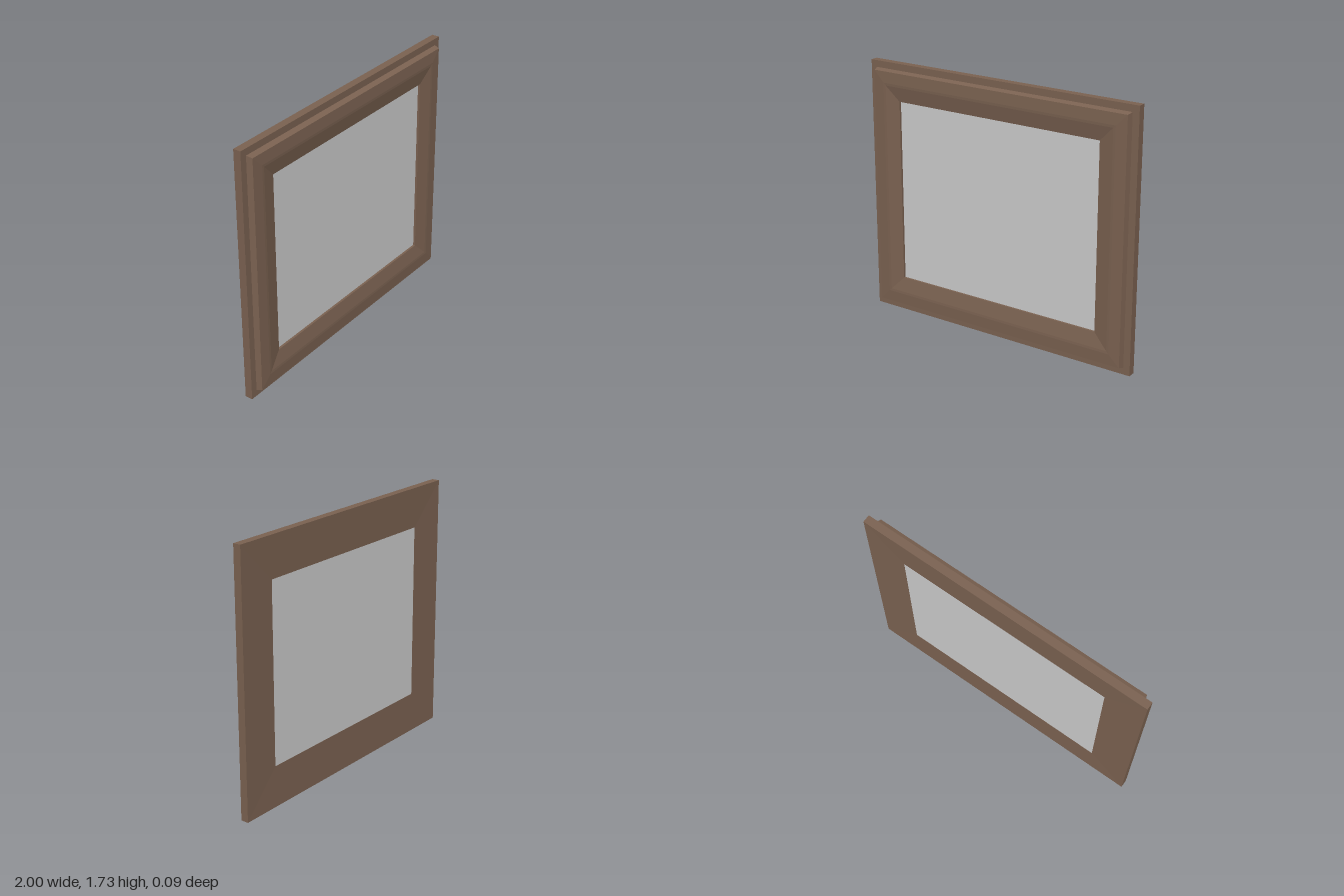
import * as THREE from 'three';

const W = 1, H = 0.865; // outer half sizes

// Moulding cross-section as [inset from the outer edge, z], closed loop
const profile = [
  [0, -0.047], [0, 0.005],            // outer edge of the back slab
  [0.045, 0.005], [0.055, 0.043],     // step up to the raised moulding
  [0.13, 0.047], [0.147, 0.046],      // gentle ridge
  [0.245, 0.028], [0.245, 0.005],     // bevel down to the opening
  [0.27, 0.0], [0.27, -0.041],        // rebate behind the panel
];

// Sweeps the profile round a rectangle with mitred corners
function mitredFrame(section) {
  const corners = [[-1, -1], [1, -1], [1, 1], [-1, 1]];
  const point = (c, [inset, z]) => [c[0] * (W - inset), c[1] * (H - inset), z];
  const positions = [];
  corners.forEach((c, i) => {
    const next = corners[(i + 1) % 4];
    section.forEach((p, j) => {
      const q = section[(j + 1) % section.length];
      const a = point(c, p), b = point(next, p), d = point(next, q), e = point(c, q);
      positions.push(...a, ...b, ...d, ...a, ...d, ...e);
    });
  });
  const geometry = new THREE.BufferGeometry();
  geometry.setAttribute('position', new THREE.Float32BufferAttribute(positions, 3));
  geometry.computeVertexNormals();
  return geometry;
}

export function createModel() {
  const group = new THREE.Group();
  group.name = 'pictureFrame';

  // Brown moulding
  const frame = new THREE.Mesh(
    mitredFrame(profile),
    new THREE.MeshStandardMaterial({ color: 0x7b6251 })
  );
  frame.name = 'frame';
  frame.position.y = H;
  group.add(frame);

  // Panel held in the rebate
  const front = 0.013, back = -0.04;
  const panel = new THREE.Mesh(
    new THREE.BoxGeometry(2 * (W - 0.243), 2 * (H - 0.243), front - back),
    new THREE.MeshStandardMaterial({ color: 0xcccccc })
  );
  panel.name = 'picturePanel';
  panel.position.set(0, H, (front + back) / 2);
  group.add(panel);

  return group;
}
